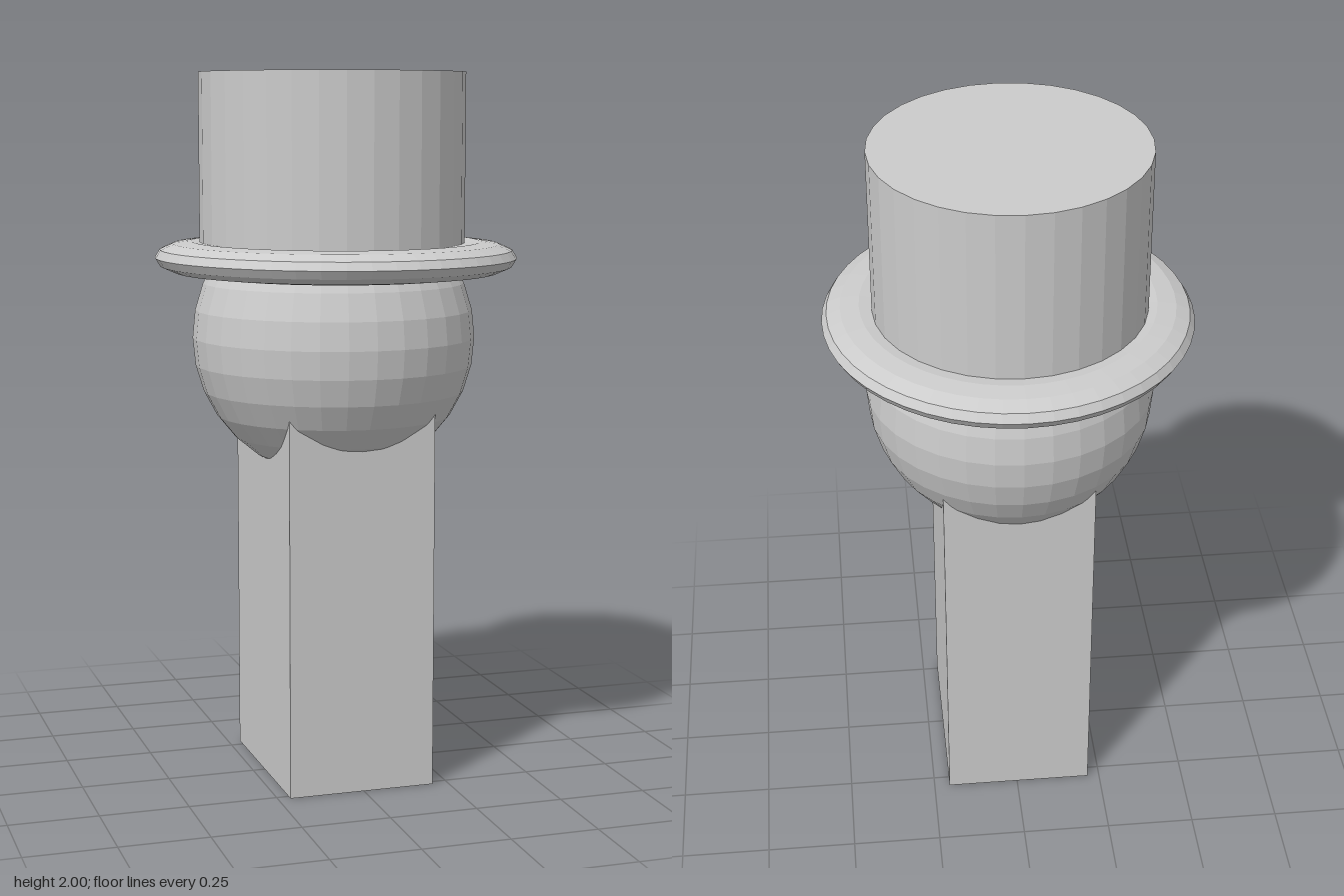
import * as THREE from 'three';

export function createModel() {
  const group = new THREE.Group();
  const material = new THREE.MeshStandardMaterial({ color: 0xcccccc, flatShading: true });

  const add = (name, geometry, x, y, z) => {
    const mesh = new THREE.Mesh(geometry, material);
    mesh.name = name;
    mesh.position.set(x, y, z);
    group.add(mesh);
  };

  // Square body, its top buried in the head
  add('body', new THREE.BoxGeometry(0.42, 1.08, 0.555), -0.005, 0.54, -0.008);

  // Faceted round head
  add('head', new THREE.SphereGeometry(0.4, 32, 16), -0.005, 1.26, -0.003);

  // Flattened, slightly oval hat brim
  const brim = new THREE.TorusGeometry(0.405, 0.103, 12, 48);
  brim.rotateX(Math.PI / 2).scale(1, 0.44, 1.06);
  add('hatBrim', brim, 0, 1.485, 0);

  // Hat crown, set a little back on the brim
  add('hatCrown', new THREE.CylinderGeometry(0.375, 0.375, 0.52, 32), -0.004, 1.74, -0.019);

  return group;
}
